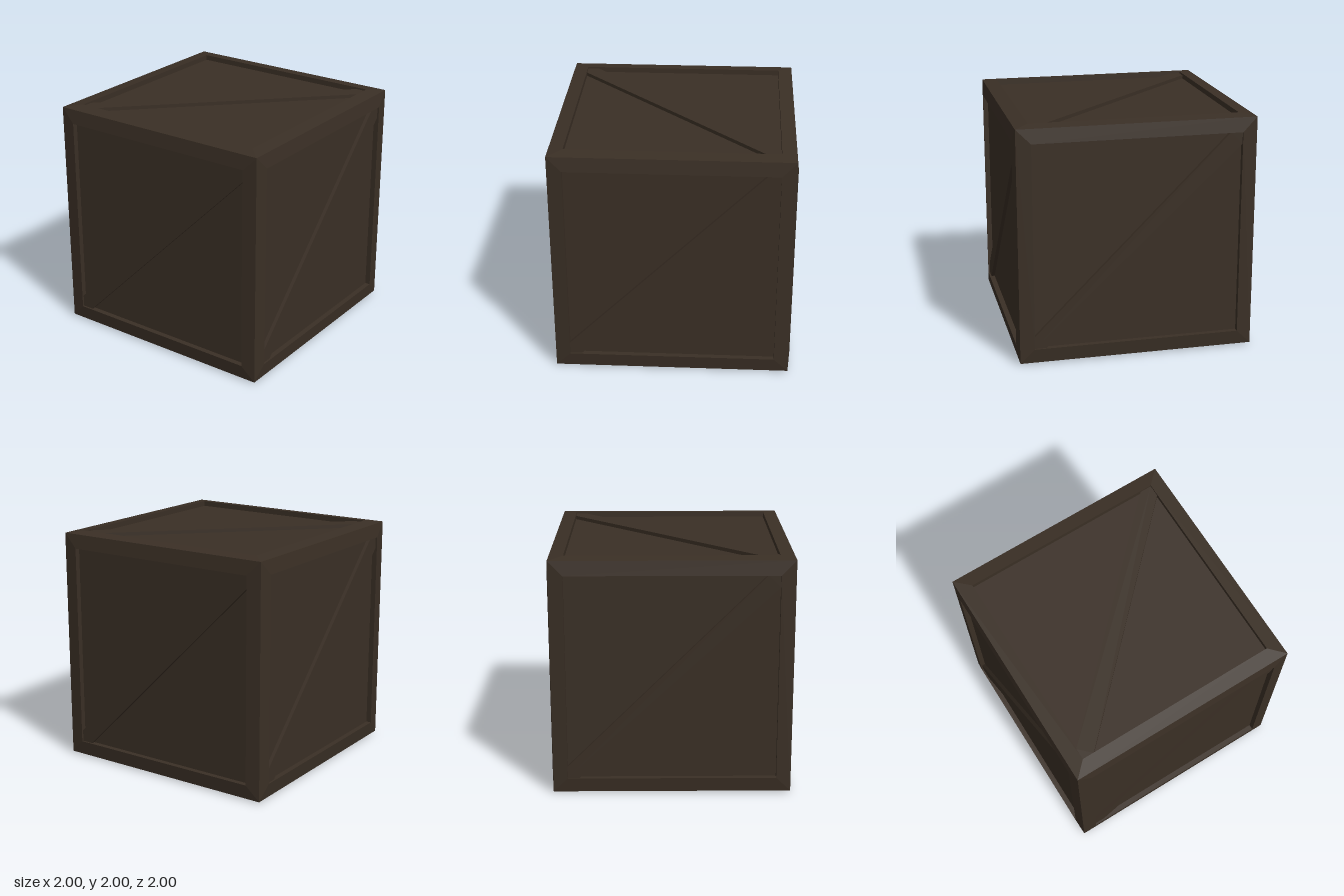
import * as THREE from 'three';

const CORNER = 0.986;  // half size at the cube's corners
const INNER = 0.865;   // half size of the recessed opening
const PANEL = 0.955;   // distance of the recessed panel from the centre
const BRACE = 0.03;    // brace height above the panel
const CUT = 0.1;       // half width of the brace along the frame edge

// Square frame: slightly raised rim, then a straight wall down to the panel
function frameGeometry() {
  const loops = [[CORNER, CORNER], [INNER, 1], [INNER, PANEL]];
  const signs = [[-1, -1], [1, -1], [1, 1], [-1, 1]];
  const at = (l, i) => [signs[i % 4][0] * loops[l][0], signs[i % 4][1] * loops[l][0], loops[l][1]];
  const pos = [];
  for (let l = 0; l < loops.length - 1; l++) {
    for (let i = 0; i < 4; i++) {
      const a = at(l, i), b = at(l, i + 1), c = at(l + 1, i + 1), d = at(l + 1, i);
      pos.push(...a, ...b, ...c, ...a, ...c, ...d);
    }
  }
  const geo = new THREE.BufferGeometry();
  geo.setAttribute('position', new THREE.Float32BufferAttribute(pos, 3));
  geo.computeVertexNormals();
  return geo;
}

// Diagonal plank whose ends are cut to fit the frame corners
function braceGeometry() {
  const s = INNER, t = INNER - CUT;
  const shape = new THREE.Shape([
    [-s, -s], [-t, -s], [s, t], [s, s], [t, s], [-s, -t],
  ].map(([x, y]) => new THREE.Vector2(x, y)));
  return new THREE.ExtrudeGeometry(shape, { depth: BRACE, bevelEnabled: false }).translate(0, 0, PANEL);
}

export function createModel() {
  const wood = new THREE.MeshStandardMaterial({ name: 'dark wood', color: 0x3a2f25 });
  const parts = {
    frame: frameGeometry(),
    panel: new THREE.PlaneGeometry(2 * INNER, 2 * INNER).translate(0, 0, PANEL),
    brace: braceGeometry(),
  };

  // Turn of each crate side from the front
  const q = Math.PI / 2;
  const sides = {
    front: [0, 0, 0],
    left: [0, q, 0],
    back: [0, 2 * q, 0],
    right: [0, -q, 0],
    top: [-q, 0, q],
    bottom: [q, 0, 0],
  };

  const crate = new THREE.Group();
  crate.name = 'crate';
  for (const [side, turn] of Object.entries(sides)) {
    const group = new THREE.Group();
    group.name = side + 'Side';
    for (const [part, geometry] of Object.entries(parts)) {
      const mesh = new THREE.Mesh(geometry, wood);
      mesh.name = part;
      group.add(mesh);
    }
    group.rotation.set(...turn);
    group.position.y = 1;
    crate.add(group);
  }
  return crate;
}
